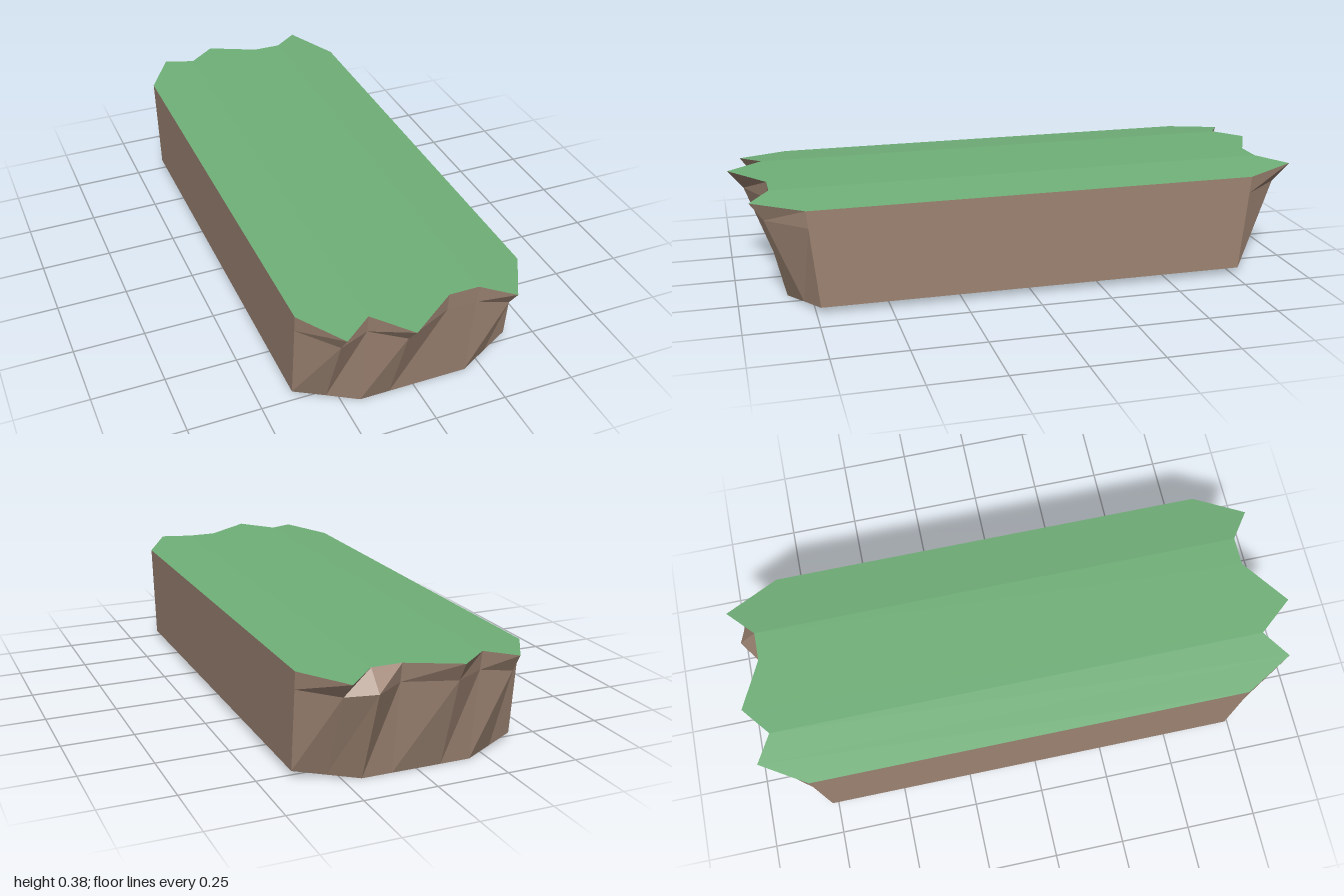
import * as THREE from 'three';

// Columns across the width; each ring lists y and the z of its front and back ends.
const xs = [-0.39, -0.29, -0.19, -0.086, 0.086, 0.19, 0.29, 0.39];
const rings = {
  bottom: {
    y: [0.023, 0.0115, 0, 0, 0, 0, 0.0115, 0.023],
    front: [0.735, 0.782, 0.83, 0.83, 0.83, 0.83, 0.782, 0.735],
    back: [-0.77, -0.814, -0.858, -0.858, -0.858, -0.858, -0.814, -0.77],
  },
  ledge: {
    y: [0.303, 0.311, 0.318, 0.318, 0.318, 0.318, 0.311, 0.303],
    front: [0.764, 0.9, 0.867, 0.945, 0.867, 0.867, 0.9, 0.764],
    back: [-0.799, -0.93, -0.9, -0.957, -0.9, -0.972, -0.935, -0.799],
  },
  top: {
    y: [0.363, 0.373, 0.383, 0.383, 0.383, 0.383, 0.373, 0.363],
    front: [0.77, 0.945, 0.873, 0.998, 0.873, 0.873, 0.945, 0.77],
    back: [-0.805, -0.968, -0.91, -0.993, -0.91, -0.91, -1.0, -0.805],
  },
};

// Closed outline: along the front from -x to +x, then along the back.
function outline({ y, front, back }) {
  const f = xs.map((x, i) => [x, y[i], front[i]]);
  const b = xs.map((x, i) => [x, y[i], back[i]]);
  return [...f, ...b.reverse()];
}

function meshFromQuads(name, quads, material) {
  const pos = [];
  for (const [a, b, c, d] of quads) pos.push(...a, ...b, ...c, ...a, ...c, ...d);
  const geo = new THREE.BufferGeometry();
  geo.setAttribute('position', new THREE.Float32BufferAttribute(pos, 3));
  geo.computeVertexNormals();
  const mesh = new THREE.Mesh(geo, material);
  mesh.name = name;
  return mesh;
}

// Wall band between two outlines
function band(lo, hi) {
  return lo.map((p, i) => {
    const j = (i + 1) % lo.length;
    return [p, lo[j], hi[j], hi[i]];
  });
}

// Strips joining the front and back of an outline
function cap(loop, up) {
  const n = loop.length;
  return xs.slice(1).map((_, i) => {
    const q = [loop[i], loop[i + 1], loop[n - 2 - i], loop[n - 1 - i]];
    return up ? q : q.reverse();
  });
}

export function createModel() {
  const earth = new THREE.MeshStandardMaterial({ color: 0x9c8372 });
  earth.name = 'earth brown';
  const grass = new THREE.MeshStandardMaterial({ color: 0x70b078 });
  grass.name = 'grass green';

  const bottom = outline(rings.bottom);
  const ledge = outline(rings.ledge);
  const top = outline(rings.top);

  const group = new THREE.Group();
  group.name = 'groundBlock';
  group.add(
    meshFromQuads('earthWalls', band(bottom, ledge), earth),
    meshFromQuads('earthRim', band(ledge, top), earth),
    meshFromQuads('earthUnderside', cap(bottom, false), earth),
    meshFromQuads('grassTop', cap(top, true), grass),
  );
  return group;
}
